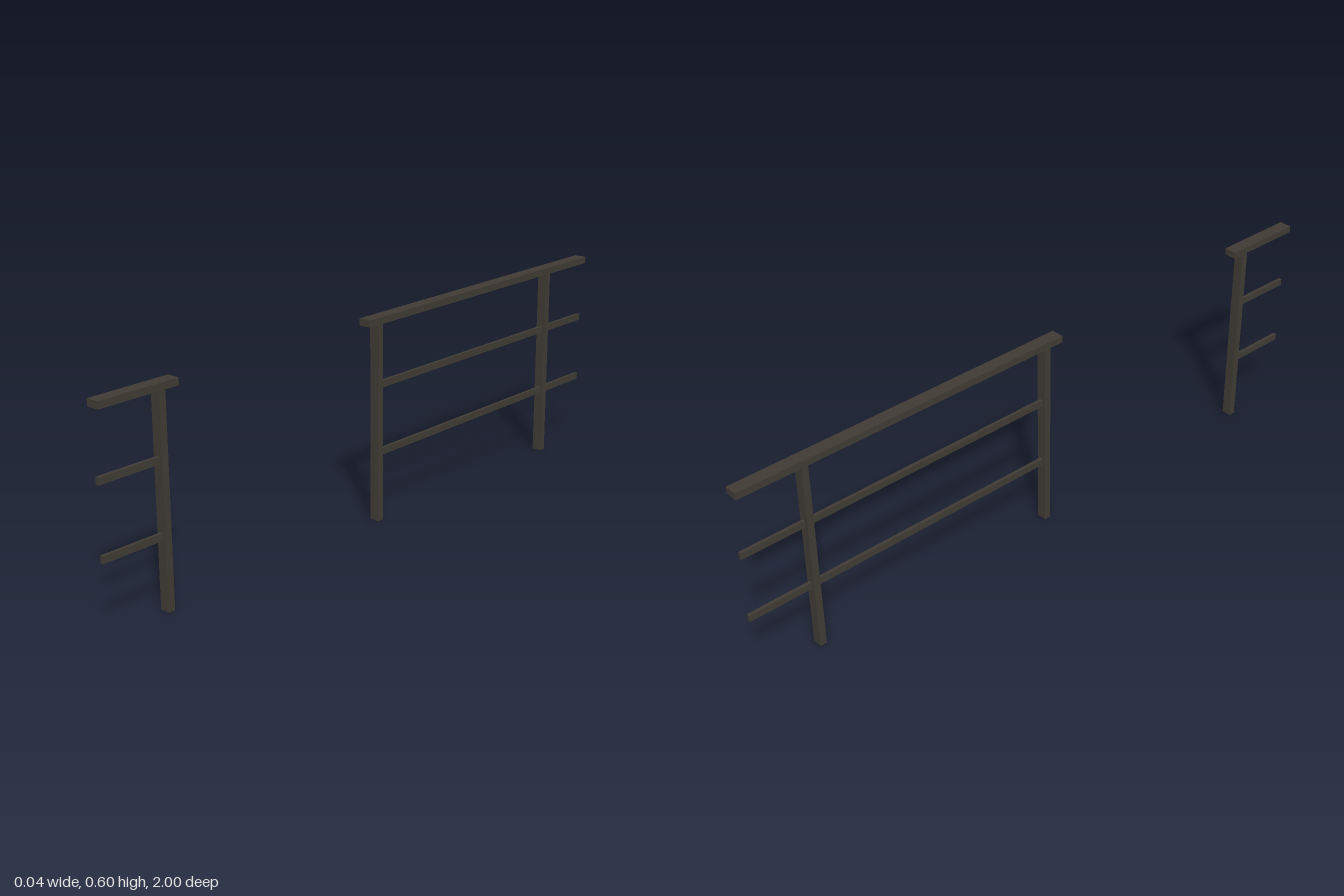
import * as THREE from 'three';

export function createModel() {
  const group = new THREE.Group();
  const bronze = new THREE.MeshStandardMaterial({ color: 0x3f3a33 });
  bronze.name = 'darkBronze';

  // Box spanning z0..z1, with its underside at y0
  const bar = (name, width, height, y0, z0, z1) => {
    const mesh = new THREE.Mesh(new THREE.BoxGeometry(width, height, z1 - z0), bronze);
    mesh.name = name;
    mesh.position.set(0, y0 + height / 2, (z0 + z1) / 2);
    group.add(mesh);
  };

  // Upright posts
  for (const z of [-0.8, 0, 0.8]) bar('post', 0.03, 0.582, 0, z - 0.01, z + 0.01);

  // Handrails overhang the posts at the gap
  bar('handrailBack', 0.038, 0.02, 0.582, -1, 0.05);
  bar('handrailFront', 0.038, 0.02, 0.582, 0.75, 1);

  // Slim horizontal rails, stopping at the gap posts
  for (const y of [0.192, 0.392]) {
    bar('midRailBack', 0.01, 0.02, y, -1, -0.01);
    bar('midRailFront', 0.01, 0.02, y, 0.81, 1);
  }
  return group;
}
